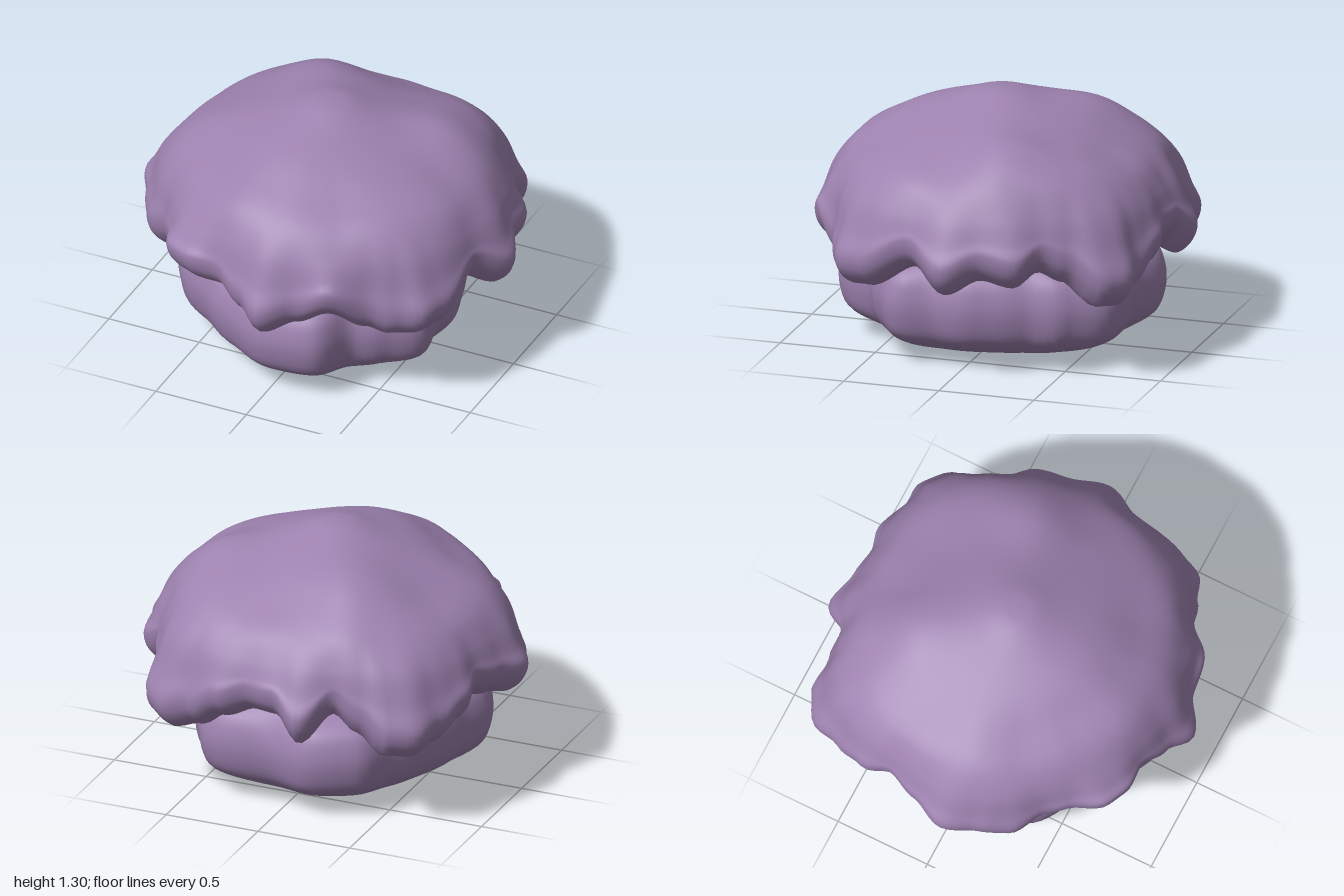
import * as THREE from 'three';

// Cap outline: [angle from +x toward +z in degrees, radius, height of the drooping rim]
const capOutline = [
  [0, 1.0, 0.47], [13, 0.91, 0.57], [30, 0.98, 0.44], [37, 1.0, 0.43], [45, 0.94, 0.42],
  [53, 0.89, 0.45], [66, 0.93, 0.56], [77, 0.9, 0.48], [88, 0.97, 0.43], [97, 0.9, 0.49],
  [107, 0.87, 0.56], [118, 0.93, 0.57], [125, 0.94, 0.57], [136, 0.87, 0.54], [144, 0.86, 0.5],
  [156, 0.93, 0.44], [165, 0.95, 0.47], [176, 1.0, 0.5], [187, 0.94, 0.54], [197, 0.915, 0.57],
  [206, 0.99, 0.51], [216, 1.02, 0.44], [225, 1.08, 0.41], [233, 1.05, 0.42], [240, 0.95, 0.51],
  [248, 0.89, 0.59], [259, 0.985, 0.46], [268, 0.91, 0.57], [277, 0.895, 0.57], [287, 0.96, 0.52],
  [297, 0.98, 0.43], [305, 1.055, 0.39], [312, 1.05, 0.4], [321, 0.94, 0.52], [329, 0.91, 0.57],
  [338, 0.97, 0.51], [349, 0.94, 0.54],
];

// Base outline: [angle, radius]
const baseOutline = [
  [0, 0.69], [12, 0.68], [28, 0.77], [44, 0.71], [56, 0.68], [72, 0.81], [90, 0.8], [112, 0.73],
  [130, 0.71], [148, 0.76], [168, 0.78], [186, 0.71], [205, 0.7], [222, 0.72], [240, 0.81],
  [256, 0.82], [275, 0.74], [300, 0.82], [316, 0.75], [332, 0.67], [347, 0.67],
];

// Smooth cyclic lookup in an outline table
function sample(table, degrees, column) {
  const deg = (degrees + 360) % 360, n = table.length;
  let i = n - 1;
  while (i > 0 && table[i][0] > deg) i--;
  const a = table[i], b = table[(i + 1) % n];
  const t = (deg - a[0]) / ((b[0] - a[0] + 360) % 360);
  const s = t * t * (3 - 2 * t);
  return a[column] + (b[column] - a[column]) * s;
}

// Outline radius averaged over neighbouring angles
function softRadius(table, deg) {
  let sum = 0;
  for (let k = -5; k <= 5; k++) sum += sample(table, deg + k * 4, 1);
  return sum / 11;
}

// Closed surface swept around y; profile(deg) gives [radius, height] from top pole to bottom pole
function sweep(profile, columns, rows, lift = () => 0) {
  const positions = [], index = [], curves = [];
  for (let j = 0; j < columns; j++) {
    const points = profile(j * 360 / columns).map(([r, y]) => new THREE.Vector3(r, y, 0));
    curves.push(new THREE.CatmullRomCurve3(points).getPoints(rows));
  }
  const add = (r, y, angle) => {
    const x = r * Math.cos(angle), z = r * Math.sin(angle);
    positions.push(x, y + lift(x, y, z), z);
  };
  add(0, curves[0][0].y, 0);
  for (let i = 1; i < rows; i++) {
    for (let j = 0; j < columns; j++) {
      const p = curves[j][i];
      add(Math.max(p.x, 0.001), p.y, j / columns * Math.PI * 2);
    }
  }
  add(0, curves[0][rows].y, 0);
  const last = 1 + (rows - 1) * columns;
  for (let j = 0; j < columns; j++) {
    const k = (j + 1) % columns;
    index.push(0, 1 + k, 1 + j);
    for (let i = 0; i < rows - 2; i++) {
      const a = 1 + i * columns + j, b = 1 + i * columns + k;
      index.push(a, b, a + columns, b, b + columns, a + columns);
    }
    index.push(last - columns + j, last - columns + k, last);
  }
  const geometry = new THREE.BufferGeometry();
  geometry.setAttribute('position', new THREE.Float32BufferAttribute(positions, 3));
  geometry.setIndex(index);
  geometry.computeVertexNormals();
  return geometry;
}

// Domed upper side, fat rounded drooping rim and shallow underside
function capProfile(deg) {
  const R = sample(capOutline, deg, 1), rim = sample(capOutline, deg, 2);
  const soft = softRadius(capOutline, deg);
  return [
    [0, 1.298], [0.09, 1.288], [0.22, 1.24], [0.41, 1.16], [soft * 0.63, 1.065],
    [soft * 0.82, 0.965], [soft * 0.6 + R * 0.32, 0.85], [soft * 0.3 + R * 0.67, 0.47 + rim * 0.53],
    [R, rim + 0.16], [R - 0.02, rim + 0.07], [R - 0.1, rim], [R - 0.19, rim + 0.03],
    [R - 0.26, rim + 0.09], [0.5, 0.64], [0, 0.66],
  ];
}

// Squat lobed cushion
function baseProfile(deg) {
  const R = sample(baseOutline, deg, 1), soft = softRadius(baseOutline, deg);
  return [
    [0, 0.54], [0.4, 0.54], [soft * 0.82, 0.53], [R * 0.95, 0.46], [R, 0.36],
    [R, 0.26], [R * 0.95, 0.15], [soft * 0.4 + R * 0.43, 0.08], [soft * 0.62, 0.04],
    [0.25, 0.015], [0, 0],
  ];
}

// Gentle swellings on the dome: [x, z, height, width]
const swellings = [
  [0.58, -0.22, 0.09, 0.15], [-0.28, -0.45, 0.08, 0.18], [-0.1, 0.6, 0.05, 0.22],
  [0.5, -0.55, 0.04, 0.15], [0.6, 0.35, 0.03, 0.18], [-0.68, 0.1, 0.02, 0.15],
];
function capLift(x, y, z) {
  const fade = THREE.MathUtils.smoothstep(y, 0.7, 1.0);
  return fade * swellings.reduce((sum, [cx, cz, h, w]) =>
    sum + h * Math.exp(-((x - cx) ** 2 + (z - cz) ** 2) / (2 * w * w)), 0);
}

export function createModel() {
  const group = new THREE.Group();
  const mauve = new THREE.MeshStandardMaterial({ color: 0x9d82af });
  mauve.name = 'mauve';

  const cap = new THREE.Mesh(sweep(capProfile, 180, 84, capLift), mauve);
  cap.name = 'cap';
  const base = new THREE.Mesh(sweep(baseProfile, 120, 50), mauve);
  base.name = 'base';

  group.add(cap, base);
  return group;
}
